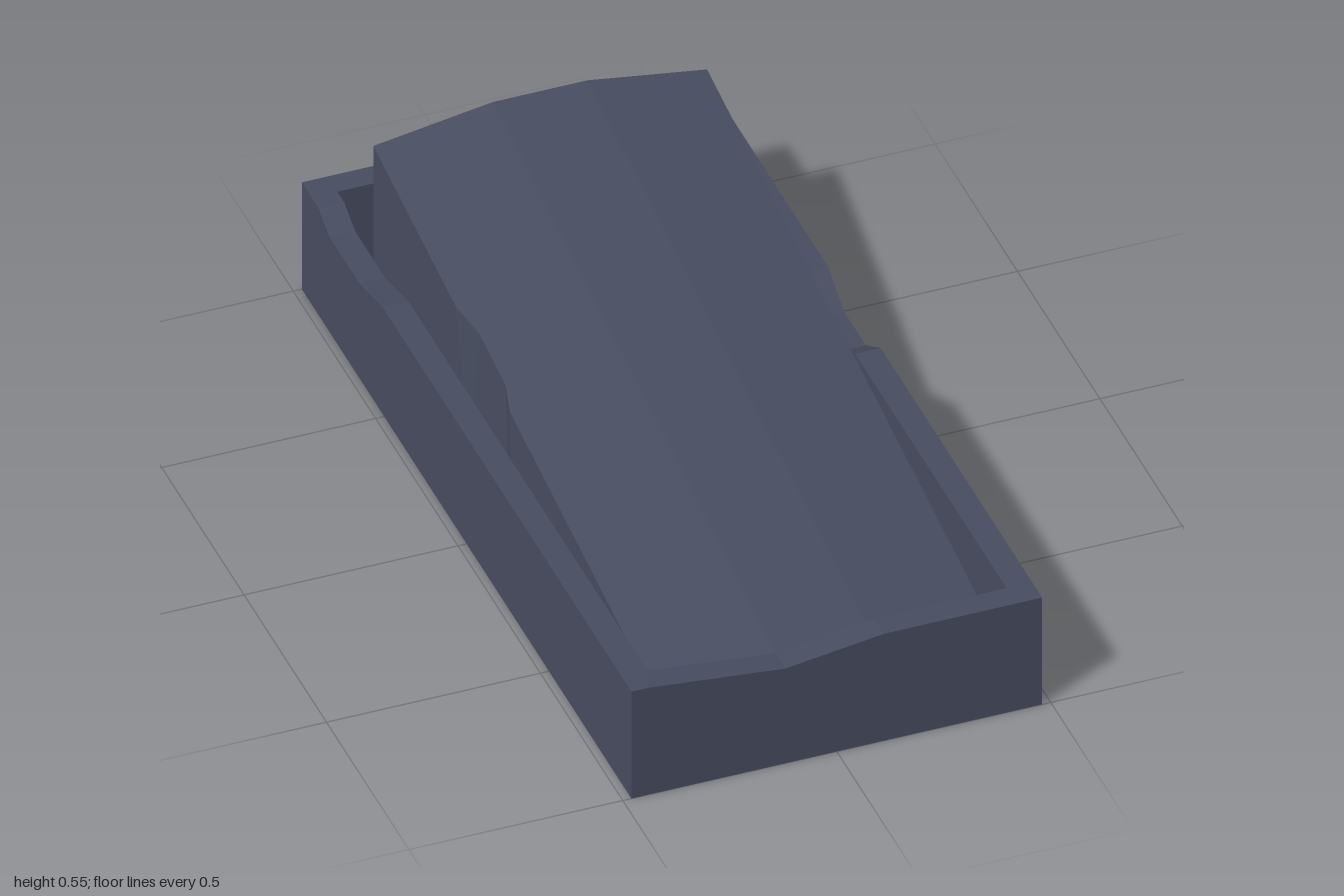
import * as THREE from 'three';

// Flat-shaded mesh from a list of quads (corners counter-clockwise from outside)
function quadMesh(name, quads, material) {
  const pos = [];
  for (const [a, b, c, d] of quads) pos.push(...a, ...b, ...c, ...a, ...c, ...d);
  const geo = new THREE.BufferGeometry();
  geo.setAttribute('position', new THREE.Float32BufferAttribute(pos, 3));
  geo.computeVertexNormals();
  const mesh = new THREE.Mesh(geo, material);
  mesh.name = name;
  return mesh;
}

export function createModel() {
  const slate = new THREE.MeshStandardMaterial({ color: 0x474c60 });
  slate.name = 'slate';
  const group = new THREE.Group();
  group.name = 'stoneCoffer';

  // Open tray: rim stations [x, z, rim height] walked round from the front left
  const W = 0.48, L = 1, wall = 0.06, H = 0.29, floor = 0.06;
  const rim = [
    [-W, L, H], [-0.44, L, H], [-0.12, L, 0.257], [0.11, L, H],
    [W, L, H], [W, 0.02, H], [W, -0.07, 0.235], [W, -0.2, 0.235], [W, -0.3, H],
    [W, -L, H], [-W, -L, H],
    [-W, -0.9, H], [-W, -0.83, 0.257], [-W, -0.65, 0.257], [-W, -0.51, H],
  ];
  const outer = ([x, z], y) => [x, y, z];
  const inner = ([x, z], y) => [
    THREE.MathUtils.clamp(x, wall - W, W - wall), y,
    THREE.MathUtils.clamp(z, wall - L, L - wall),
  ];
  const tray = [];
  rim.forEach((a, i) => {
    const b = rim[(i + 1) % rim.length];
    tray.push([outer(a, 0), outer(b, 0), outer(b, b[2]), outer(a, a[2])]);
    tray.push([outer(a, a[2]), outer(b, b[2]), inner(b, b[2]), inner(a, a[2])]);
    tray.push([inner(a, a[2]), inner(b, b[2]), inner(b, floor), inner(a, floor)]);
  });
  const w = W - wall, l = L - wall;
  tray.push([[-w, floor, l], [w, floor, l], [w, floor, -l], [-w, floor, -l]]);
  tray.push([[-W, 0, -L], [W, 0, -L], [W, 0, L], [-W, 0, L]]);
  group.add(quadMesh('tray', tray, slate));

  // Tilted lid: crowned sections [z, x of the chipped edge] from front to back
  const section = ([z, edge]) => {
    const ridge = 0.548 - 0.18 * (z + 0.8), side = ridge - 0.045;
    return [
      [-0.39, floor, z], [edge, side, z], [-0.11, ridge, z],
      [0.11, ridge, z], [0.39, side, z], [0.39, floor, z],
    ];
  };
  const rings = [
    [0.94, -0.39], [0.03, -0.39], [-0.05, -0.37],
    [-0.21, -0.37], [-0.3, -0.39], [-0.8, -0.39],
  ].map(section);
  const lid = [];
  for (let s = 0; s < rings.length - 1; s++) {
    const a = rings[s], b = rings[s + 1];
    for (let i = 0; i < 6; i++) {
      const j = (i + 1) % 6;
      lid.push([a[i], a[j], b[j], b[i]]);
    }
  }
  // End faces
  const f = rings[0], k = rings[rings.length - 1];
  lid.push([f[0], f[5], f[4], f[1]], [f[1], f[4], f[3], f[2]]);
  lid.push([k[0], k[1], k[4], k[5]], [k[1], k[2], k[3], k[4]]);
  group.add(quadMesh('tiltedLid', lid, slate));

  return group;
}
